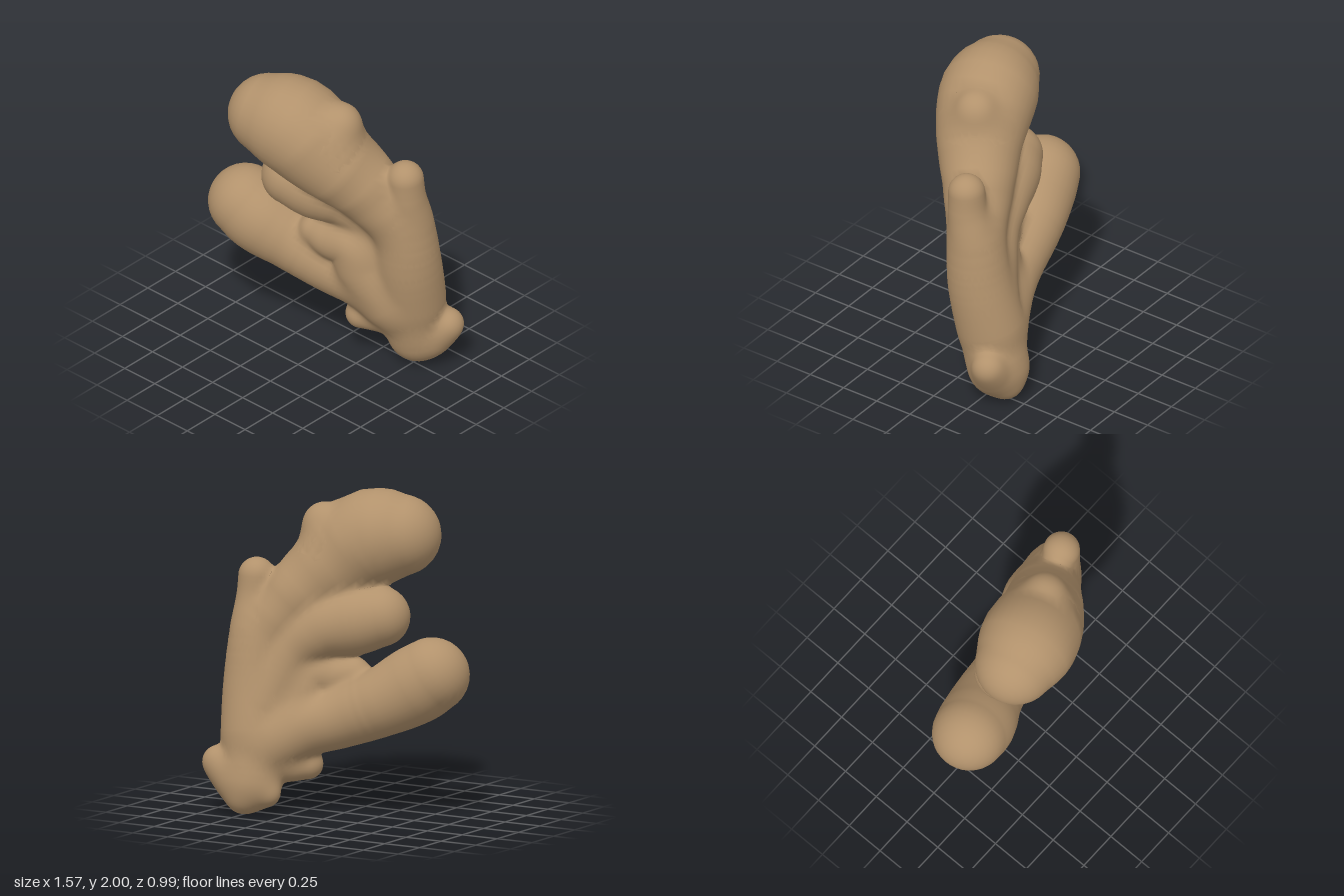
import * as THREE from 'three';

// Each limb is a path of [x, y, z, radius], running from its tip into the root body.
const LIMBS = {
  upperLobeAndTrunk: [[-0.26, 1.715, 0.235, 0.25], [-0.09, 1.69, 0.19, 0.303], [0.1, 1.535, 0.115, 0.272], [0.31, 1.32, -0.02, 0.22],
    [0.48, 1.06, -0.13, 0.18], [0.51, 0.75, -0.185, 0.19], [0.49, 0.42, -0.25, 0.2], [0.49, 0.2, -0.295, 0.185]],
  upperBump: [[0.19, 1.77, 0.08, 0.13], [0.14, 1.62, 0.1, 0.2]],
  sideStemAndKnob: [[0.56, 1.44, -0.11, 0.113], [0.56, 1.3, -0.12, 0.122], [0.55, 1.1, -0.155, 0.152],
    [0.53, 0.8, -0.185, 0.185], [0.49, 0.5, -0.24, 0.2]],
  middleLobe: [[-0.2, 1.225, 0.09, 0.187], [-0.05, 1.19, 0.03, 0.21], [0.12, 1.14, -0.05, 0.183],
    [0.28, 1.0, -0.115, 0.155], [0.42, 0.7, -0.18, 0.17]],
  frontStub: [[-0.06, 0.86, 0.025, 0.105], [0.06, 0.845, 0.005, 0.135], [0.21, 0.84, -0.045, 0.17], [0.26, 0.69, -0.08, 0.19],
    [0.4, 0.48, -0.17, 0.2]],
  lowerLobe: [[-0.555, 0.89, 0.12, 0.232], [-0.45, 0.82, 0.09, 0.24], [-0.28, 0.72, 0.02, 0.215], [0, 0.6, -0.06, 0.19],
    [0.2, 0.54, -0.13, 0.19], [0.42, 0.42, -0.22, 0.2]],
  lowerBump: [[0.2, 0.3, -0.1, 0.095], [0.3, 0.3, -0.17, 0.11], [0.45, 0.3, -0.25, 0.12]],
  baseSideBump: [[0.68, 0.31, -0.36, 0.1], [0.58, 0.22, -0.33, 0.14]],
  baseCorner: [[0.35, 0.13, -0.32, 0.07], [0.47, 0.2, -0.31, 0.14]],
  baseTip: [[0.5, 0.105, -0.365, 0.1], [0.49, 0.25, -0.29, 0.17]],
};
const STEPS = 30, SIDES = 32, CAP = 8, BLEND = 0.05;

// Smooth path with a matching smooth radius
function makeLimb(points) {
  const curve = new THREE.CatmullRomCurve3(points.map(p => new THREE.Vector3(p[0], p[1], p[2])));
  const radii = new THREE.SplineCurve(points.map((p, i) => new THREE.Vector2(i, p[3])));
  const at = t => ({ p: curve.getPoint(t), r: radii.getPoint(t).y });
  const chain = Array.from({ length: STEPS + 1 }, (_, i) => at(i / STEPS));
  return { curve, at, chain };
}

// Distance to one limb's tapered chain
function limbDistance(v, chain) {
  let best = Infinity;
  for (let i = 0; i < chain.length - 1; i++) {
    const a = chain[i], b = chain[i + 1];
    const dx = b.p.x - a.p.x, dy = b.p.y - a.p.y, dz = b.p.z - a.p.z;
    const ex = v.x - a.p.x, ey = v.y - a.p.y, ez = v.z - a.p.z;
    const h = Math.min(1, Math.max(0, (ex * dx + ey * dy + ez * dz) / (dx * dx + dy * dy + dz * dz)));
    const fx = ex - h * dx, fy = ey - h * dy, fz = ez - h * dz;
    best = Math.min(best, Math.sqrt(fx * fx + fy * fy + fz * fz) - a.r - h * (b.r - a.r));
  }
  return best;
}

// Soft union of all limbs, giving fleshy fillets at the joints
function field(v, limbs) {
  let d = Infinity;
  for (const limb of limbs) {
    const e = limbDistance(v, limb.chain);
    const h = Math.max(BLEND - Math.abs(d - e), 0) / BLEND;
    d = Math.min(d, e) - h * h * BLEND / 4;
  }
  return d;
}

function gradient(v, limbs) {
  const e = 0.015, q = new THREE.Vector3(), g = new THREE.Vector3();
  for (const axis of ['x', 'y', 'z']) {
    q.copy(v)[axis] += e;
    const high = field(q, limbs);
    q[axis] -= 2 * e;
    g[axis] = high - field(q, limbs);
  }
  return g.normalize();
}

// Round-ended tube whose vertices are drawn out onto the blended skin
function limbGeometry(limb, limbs) {
  const rows = 36, frames = limb.curve.computeFrenetFrames(rows, false);
  const positions = [], normals = [], index = [];
  const rings = [];
  for (let i = 0; i < CAP; i++) rings.push([0, -Math.cos(i / CAP * Math.PI / 2), Math.sin(i / CAP * Math.PI / 2)]);
  for (let i = 0; i <= rows; i++) rings.push([i, 0, 1]);
  for (let i = CAP - 1; i >= 0; i--) rings.push([rows, Math.cos(i / CAP * Math.PI / 2), Math.sin(i / CAP * Math.PI / 2)]);

  rings.forEach(([row, along, out], k) => {
    // arc-length position matched to the curve parameter used for the radius
    const t = limb.curve.getUtoTmapping(row / rows);
    const { p, r } = limb.at(t);
    for (let j = 0; j <= SIDES; j++) {
      const a = (j % SIDES) / SIDES * Math.PI * 2;
      const v = p.clone()
        .addScaledVector(frames.tangents[row], r * along)
        .addScaledVector(frames.normals[row], r * out * Math.cos(a))
        .addScaledVector(frames.binormals[row], r * out * Math.sin(a));
      let d = field(v, limbs);
      const n = gradient(v, limbs);
      // deeply buried vertices stay inside the neighbouring limb
      if (d > -0.07) {
        for (let s = 0; s < 3; s++) {
          v.addScaledVector(n, -d);
          n.copy(gradient(v, limbs));
          d = field(v, limbs);
        }
      }
      positions.push(v.x, v.y, v.z);
      normals.push(n.x, n.y, n.z);
      if (k < rings.length - 1 && j < SIDES) {
        const c = k * (SIDES + 1) + j, next = c + SIDES + 1;
        index.push(c, c + 1, next, c + 1, next + 1, next);
      }
    }
  });
  const geometry = new THREE.BufferGeometry();
  geometry.setAttribute('position', new THREE.Float32BufferAttribute(positions, 3));
  geometry.setAttribute('normal', new THREE.Float32BufferAttribute(normals, 3));
  geometry.setIndex(index);
  return geometry;
}

export function createModel() {
  const group = new THREE.Group();
  group.name = 'branchingRoot';
  const skin = new THREE.MeshStandardMaterial({ color: 0xb2926c });
  skin.name = 'tanSkin';

  const names = Object.keys(LIMBS);
  const limbs = names.map(name => makeLimb(LIMBS[name]));
  names.forEach((name, i) => {
    const mesh = new THREE.Mesh(limbGeometry(limbs[i], limbs), skin);
    mesh.name = name;
    group.add(mesh);
  });
  return group;
}
